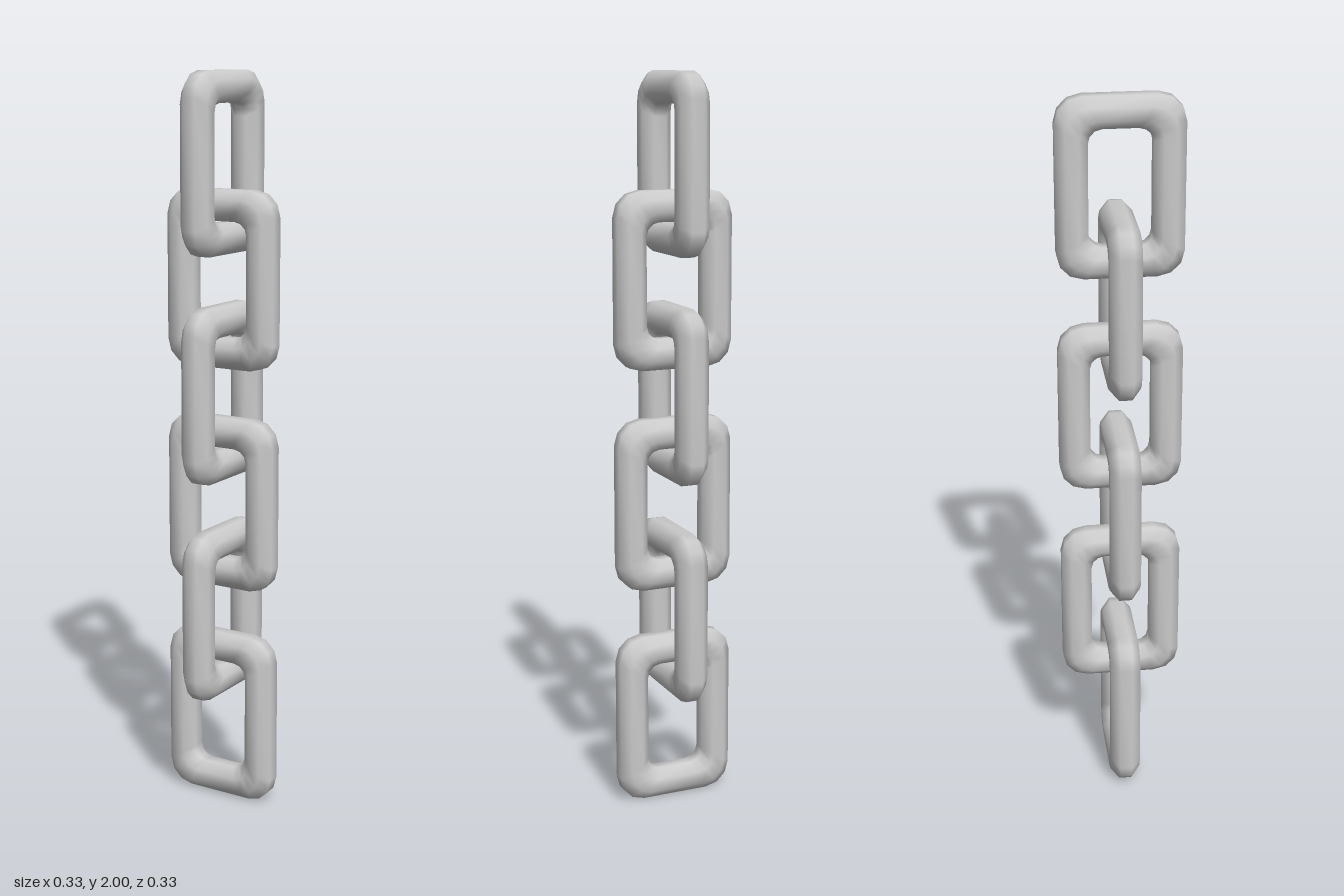
import * as THREE from 'three';

const LINKS = 6, HEIGHT = 0.475, WIDTH = 0.33, BAR = 0.0415; // BAR = half bar thickness
const SIDES = 8, CORNER_STEPS = 3;

// One rounded-rectangle link in the XY plane with an octagonal bar section
function linkGeometry() {
  const positions = [], index = [];
  const radius = BAR / Math.cos(Math.PI / SIDES);
  const loop = 4 * (CORNER_STEPS + 1);
  for (let j = 0; j < SIDES; j++) {
    const phi = ((j + 0.5) / SIDES) * Math.PI * 2;
    const d = radius * Math.cos(phi), z = radius * Math.sin(phi);
    const r = 0.053 + 0.4 * d; // corners are rounder on the outside
    const cx = WIDTH / 2 - BAR + d - r, cy = HEIGHT / 2 - BAR + d - r;
    for (let c = 0; c < 4; c++) {
      const sx = c === 0 || c === 3 ? 1 : -1, sy = c < 2 ? 1 : -1;
      for (let s = 0; s <= CORNER_STEPS; s++) {
        const a = (c + s / CORNER_STEPS) * Math.PI / 2;
        positions.push(sx * cx + r * Math.cos(a), sy * cy + r * Math.sin(a), z);
      }
    }
  }
  for (let j = 0; j < SIDES; j++) {
    for (let i = 0; i < loop; i++) {
      const i2 = (i + 1) % loop, j2 = (j + 1) % SIDES;
      const a = j * loop + i, b = j * loop + i2, c = j2 * loop + i2, d = j2 * loop + i;
      index.push(a, b, c, a, c, d);
    }
  }
  const geometry = new THREE.BufferGeometry();
  geometry.setAttribute('position', new THREE.Float32BufferAttribute(positions, 3));
  geometry.setIndex(index);
  geometry.computeVertexNormals();
  return geometry;
}

export function createModel() {
  const chain = new THREE.Group();
  chain.name = 'chain';
  const geometry = linkGeometry();
  const material = new THREE.MeshStandardMaterial({ color: 0xcccccc });
  const pitch = (2 - HEIGHT) / (LINKS - 1);

  // Links stacked upward, every other one turned a quarter
  for (let i = 0; i < LINKS; i++) {
    const link = new THREE.Mesh(geometry, material);
    link.name = `link${i + 1}`;
    link.position.y = HEIGHT / 2 + i * pitch;
    link.rotation.y = i % 2 ? Math.PI / 2 : 0;
    chain.add(link);
  }
  return chain;
}
